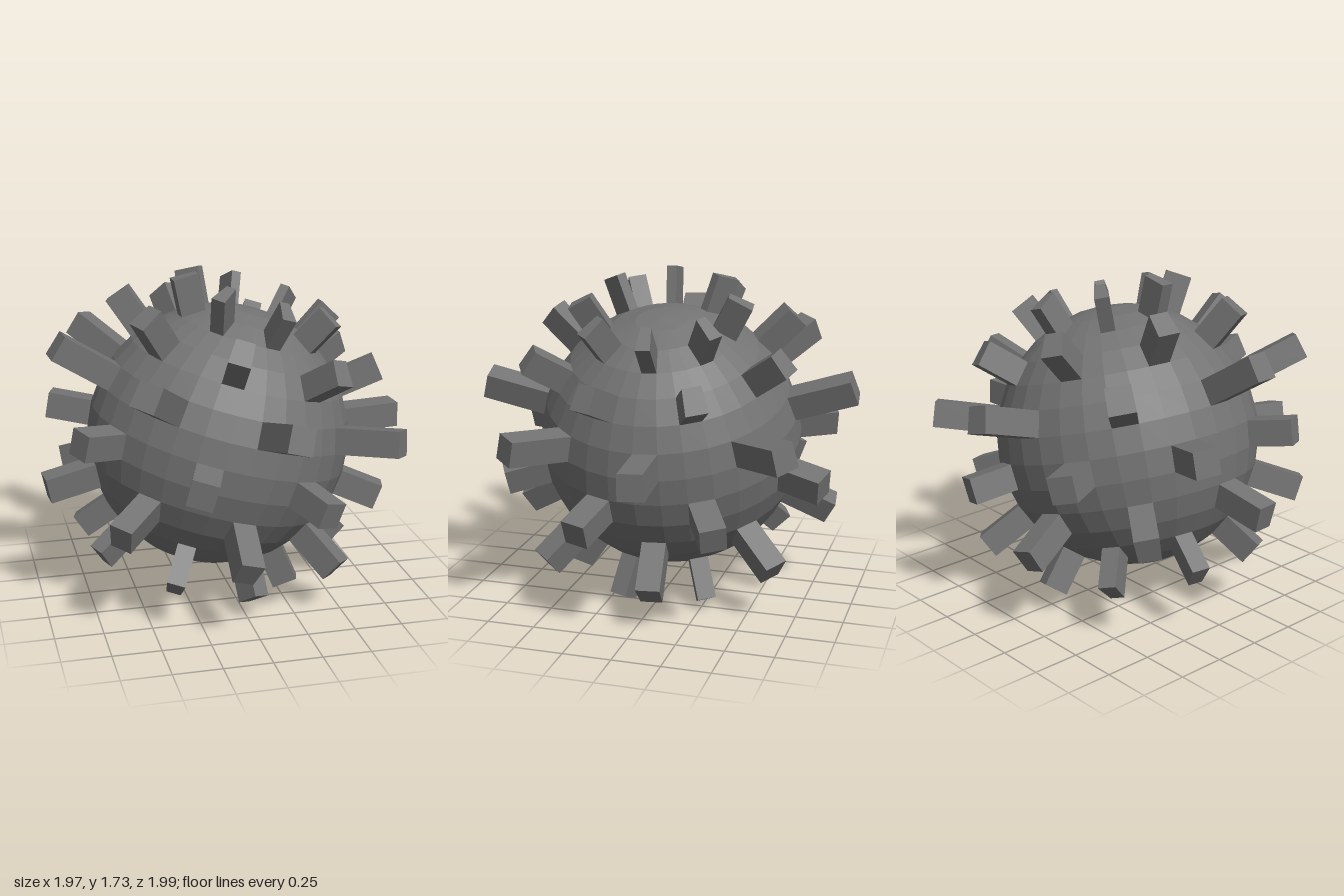
import * as THREE from 'three';

const R = 0.69;                // ball radius
const STEP = Math.PI / 16;     // angular size of one ball facet

// Point on the ball from polar angle and azimuth
function onBall(polar, az) {
  return new THREE.Vector3(
    R * Math.sin(polar) * Math.cos(az),
    R * Math.cos(polar),
    R * Math.sin(polar) * Math.sin(az));
}

// Block that extrudes one facet of the ball straight outward to distance `reach`
function spikeGeometry(polar, az, reach) {
  const h = STEP / 2;
  const normal = onBall(polar, az).normalize();
  const height = reach - R * Math.cos(h) ** 2;
  const geo = new THREE.BoxGeometry(1, 1, 1);
  const pos = geo.attributes.position;
  for (let i = 0; i < pos.count; i++) {
    const p = onBall(polar - Math.sign(pos.getZ(i)) * h, az + Math.sign(pos.getX(i)) * h);
    // the foot sinks slightly into the ball
    p.addScaledVector(normal, pos.getY(i) > 0 ? height : -0.02);
    pos.setXYZ(i, p.x, p.y, p.z);
  }
  geo.computeVertexNormals();
  return geo;
}

export function createModel() {
  const model = new THREE.Group();
  model.name = 'spikedBall';
  const material = new THREE.MeshStandardMaterial({ color: 0x737373, flatShading: true });

  // Whole ball leans to one side
  const tilted = new THREE.Group();
  tilted.name = 'tiltedBall';
  tilted.position.set(-0.04, 0.847, 0);
  tilted.rotation.z = -0.279;
  model.add(tilted);

  const ball = new THREE.Mesh(new THREE.SphereGeometry(R, 32, 16), material);
  ball.name = 'ball';
  tilted.add(ball);

  // Six rings of eight spikes, every other ring staggered by half a gap
  const reaches = [0.88, 0.91, 1.02, 0.91, 0.95, 0.9];
  reaches.forEach((reach, ring) => {
    const group = new THREE.Group();
    group.name = 'spikeRing' + (ring + 1);
    const polar = (2 * ring + 2.5) * STEP;
    for (let k = 0; k < 8; k++) {
      const az = (4 * k - 0.5 + (ring % 2) * 2) * STEP;
      const spike = new THREE.Mesh(spikeGeometry(polar, az, reach), material);
      spike.name = 'spike';
      group.add(spike);
    }
    tilted.add(group);
  });
  return model;
}
